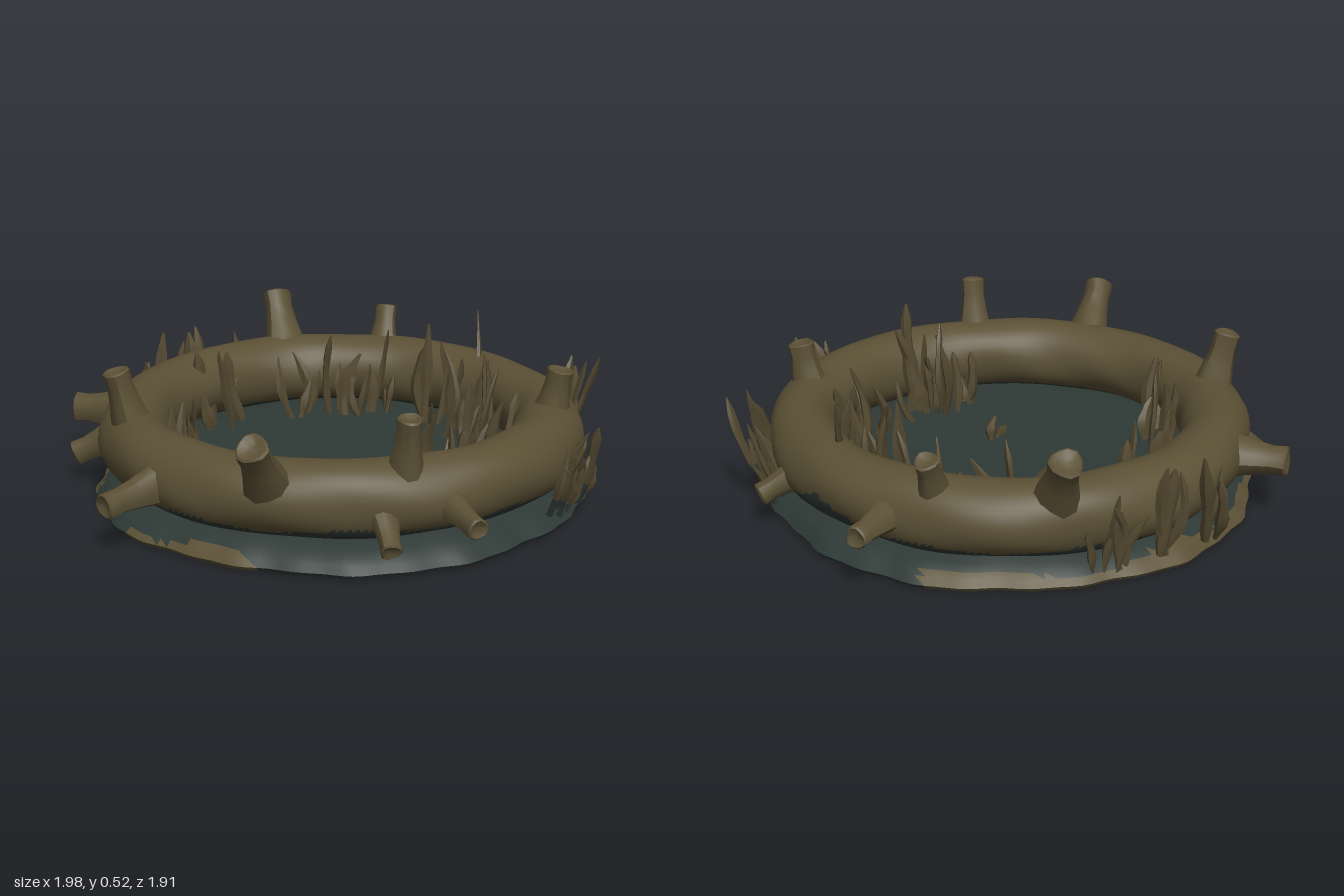
import * as THREE from 'three';
import { mergeVertices, toCreasedNormals } from 'three/addons/utils/BufferGeometryUtils.js';

const V = (x, y, z) => new THREE.Vector3(x, y, z);
const UP = V(0, 1, 0);

// Weld a geometry and move each vertex by a rule
function deform(geo, rule) {
  geo.deleteAttribute('uv');
  geo.deleteAttribute('normal');
  const g = mergeVertices(geo, 1e-4);
  const p = g.attributes.position;
  for (let i = 0; i < p.count; i++) {
    const v = V().fromBufferAttribute(p, i);
    rule(v);
    p.setXYZ(i, v.x, v.y, v.z);
  }
  return g;
}

// Sort triangles into two material groups: test(centre) true -> material 1
function paint(geo, test) {
  const sets = [[], []], idx = geo.index.array, p = geo.attributes.position;
  for (let i = 0; i < idx.length; i += 3) {
    const c = V();
    for (let k = 0; k < 3; k++) c.add(V().fromBufferAttribute(p, idx[i + k]));
    sets[test(c.divideScalar(3)) ? 1 : 0].push(idx[i], idx[i + 1], idx[i + 2]);
  }
  geo.setIndex([...sets[0], ...sets[1]]);
  geo.clearGroups();
  geo.addGroup(0, sets[0].length, 0);
  geo.addGroup(sets[0].length, sets[1].length, 1);
}

function lathe(points, sides) {
  return new THREE.LatheGeometry(points.map(([x, y]) => new THREE.Vector2(x, y)), sides);
}

export function createModel() {
  const root = new THREE.Group();
  const mat = (name, color) => {
    const m = new THREE.MeshStandardMaterial({ color });
    m.name = name;
    return m;
  };
  const bark = mat('bark', 0x5b5035);
  const moss = mat('dark moss', 0x2e3935);
  const reedMat = mat('dry reed', 0x534830);

  let seed = 11;
  const rnd = () => (seed = (seed * 16807) % 2147483647) / 2147483647;
  const jitter = (s) => (rnd() * 2 - 1) * s;

  const add = (parent, name, geo, material) => {
    const m = new THREE.Mesh(geo, material);
    m.name = name;
    parent.add(m);
    return m;
  };
  const addGroup = (name) => {
    const g = new THREE.Group();
    g.name = name;
    root.add(g);
    return g;
  };

  // Mossy base plate with a ragged sloping rim
  const plate = lathe([[0, 0], [0.85, 0], [0.88, 0.004], [0.89, 0.018], [0.87, 0.04], [0.85, 0.058], [0.82, 0.075],
    [0.76, 0.098], [0.62, 0.092], [0.4, 0.078], [0.2, 0.075], [0, 0.075]], 140);
  const base = deform(plate, (v) => {
    const a = Math.atan2(v.z, v.x);
    if (Math.hypot(v.x, v.z) > 0.8) {
      const k = 1 + 0.012 * Math.sin(5 * a + 1) + 0.008 * Math.sin(13 * a) + 0.005 * Math.sin(29 * a);
      v.x *= k;
      v.z *= k;
    }
    if (v.y > 0.03) v.y += 0.005 * Math.sin(9 * v.x + 2) * Math.sin(8 * v.z);
  });
  paint(base, (c) => {
    const a = Math.atan2(c.z, c.x), r = Math.hypot(c.x, c.z);
    const back = c.x < 0.25 && c.z < 0.1 && r > 0.853 + 0.013 * Math.sin(9 * a);
    const front = c.x < -0.2 && c.z > 0.5 && r > 0.86 + 0.025 * Math.sin(11 * a);
    return back || front;
  });
  add(root, 'basePlate', toCreasedNormals(base, 0.6), [moss, bark]);

  // Log ring with a mossy underside, set slightly back
  const R = 0.747;
  const torus = new THREE.TorusGeometry(R, 0.126, 36, 200).rotateX(-Math.PI / 2);
  const ring = deform(torus, (v) => {
    const a = Math.atan2(v.z, v.x), r = Math.hypot(v.x, v.z);
    const t = Math.atan2(v.y, r - R);
    const k = 1 + 0.03 * Math.sin(7 * a + 2 * t) + 0.025 * Math.sin(11 * a - 3 * t);
    const nr = R + (r - R) * k + 0.006 * Math.sin(3 * a + 0.6);
    v.set(Math.cos(a) * nr, 0.22 + v.y * (k * 0.4 + 0.64), Math.sin(a) * nr - 0.01);
  });
  paint(ring, (c) => {
    const a = Math.atan2(c.z, c.x);
    if (Math.hypot(c.x, c.z) < R) return c.y < 0.115;
    const patch = a > -1 && a < 0.5 ? 0.04 + 0.04 * Math.sin(11 * a - 2.28) + 0.008 * Math.sin(31 * a) : 0;
    return c.y < 0.135 + 0.01 * Math.sin(9 * a) + patch;
  });
  ring.computeVertexNormals();
  add(root, 'logRing', ring, [bark, moss]);

  // Cut branch stubs growing from the ring's core: tip x, y, z and radius
  const stubs = addGroup('branchStubs');
  for (const [x, y, z, r] of [
    [-0.81, 0.18, 0.67, 0.046], [-0.79, 0.51, 0.22, 0.048], [-0.32, 0.46, 0.9, 0.055],
    [0.12, 0.11, 0.94, 0.036], [0.4, 0.18, 0.93, 0.038], [0.19, 0.51, 0.78, 0.042],
    [0.78, 0.47, 0.14, 0.048], [0.85, 0.13, -0.45, 0.042], [0.45, 0.22, -0.94, 0.04],
    [0.23, 0.45, -0.83, 0.042], [-0.22, 0.49, -0.91, 0.056], [-0.98, 0.22, -0.29, 0.055],
    [-0.97, 0.11, -0.07, 0.046],
  ]) {
    const from = V(x, 0, z).setLength(R).setY(0.218);
    const dir = V(x, y, z).sub(from), h = dir.length();
    const flare = lathe([[1.5, 0.3], [1.12, 0.6], [0.94, 0.8], [1, 0.98], [0.85, 1], [0.45, 0.97], [0, 0.96]]
      .map(([w, t]) => [w * r, t * h]), 11);
    const geo = deform(flare, (v) => {
      const k = 1 + 0.08 * Math.sin(3 * Math.atan2(v.z, v.x) + x * 20);
      v.x *= k;
      v.z *= k;
    });
    const m = add(stubs, 'branchStub', toCreasedNormals(geo, 0.8), bark);
    m.position.copy(from);
    m.quaternion.setFromUnitVectors(UP, dir.normalize());
  }

  // One curved reed blade from root to tip, mossy up to a share of its length
  function reed(parent, from, to, w, mossy) {
    const dir = to.clone().sub(from), h = dir.length();
    const bend = jitter(0.16) * h, phase = rnd() * 6;
    const geo = deform(new THREE.CylinderGeometry(1, 1, h, 5, 7), (v) => {
      const t = v.y / h + 0.5, arch = Math.sin(Math.PI * t);
      const s = w * (t > 0.99 ? 0.2 : 0.55 + 0.5 * arch + 0.22 * Math.sin(11 * t + phase));
      v.set(v.x * s + bend * arch, t * h, v.z * s * 0.6);
    });
    paint(geo, (c) => c.y < mossy * h);
    const m = add(parent, 'reed', toCreasedNormals(geo, 0.5), [reedMat, moss]);
    m.position.copy(from);
    m.quaternion.setFromUnitVectors(UP, dir.normalize());
    m.rotateY(rnd() * 6.28);
  }

  // Reed clumps spread along the ring and leaning outward: x, z, count, spread, top height
  for (const [x, z, count, spread, top] of [
    [-0.41, -0.43, 8, 0.1, 0.46], [0.03, -0.57, 13, 0.18, 0.42], [0.4, -0.38, 8, 0.1, 0.48],
    [0.48, -0.18, 10, 0.13, 0.46], [0.54, 0.14, 4, 0.1, 0.38], [0.35, 0.4, 10, 0.09, 0.47],
    [0.22, 0.46, 6, 0.08, 0.34], [-0.51, 0.2, 9, 0.14, 0.4], [0.07, 0.19, 3, 0.03, 0.16],
    [0.76, 0.44, 14, 0.1, 0.37], [0.83, -0.24, 14, 0.13, 0.43], [-0.69, -0.57, 3, 0.03, 0.4],
    [-0.54, -0.69, 3, 0.03, 0.44], [-0.36, -0.81, 5, 0.08, 0.43],
  ]) {
    const out = V(x, 0, z).normalize(), along = V(-out.z, 0, out.x);
    const outside = Math.hypot(x, z) > R, leaning = outside && x > 0;
    const group = addGroup(outside ? 'outerReeds' : 'innerReeds');
    for (let i = 0; i < count; i++) {
      const from = V(x, 0.06, z).addScaledVector(along, jitter(spread))
        .addScaledVector(out, jitter(outside ? 0.025 : 0.02 + spread * 0.35));
      const tip = from.clone().addScaledVector(out, leaning ? 0.04 + 0.06 * rnd() : 0.03);
      tip.addScaledVector(along, jitter(0.07)).setY(top * (0.5 + 0.5 * rnd()));
      reed(group, from, tip, 0.015 + 0.011 * rnd(), leaning ? 0.25 : 0);
    }
  }

  // Single long reeds: one upright, one sweeping back, one leaning out
  const tall = addGroup('tallReeds');
  reed(tall, V(0.38, 0.06, 0.42), V(0.42, 0.52, 0.43), 0.026, 0);
  reed(tall, V(0.5, 0.08, -0.22), V(0.56, 0.51, -0.52), 0.018, 0);
  reed(tall, V(0.86, 0.06, -0.22), V(0.99, 0.4, -0.23), 0.02, 0.25);

  return root;
}
